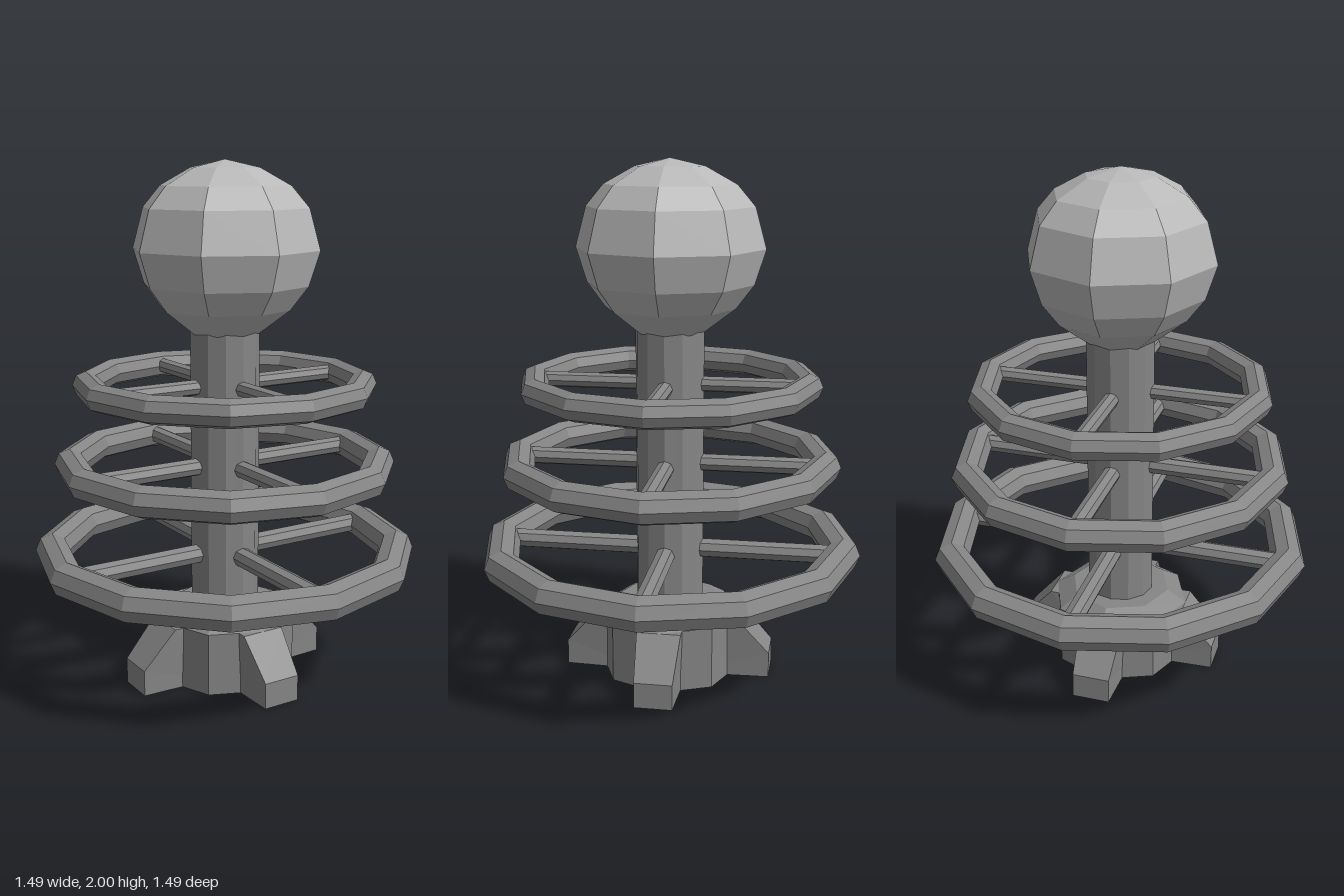
import * as THREE from 'three';

export function createModel() {
  const group = new THREE.Group();
  const bodyGray = new THREE.MeshStandardMaterial({ color: 0x868686, flatShading: true });
  bodyGray.name = 'body gray';
  const ballGray = new THREE.MeshStandardMaterial({ color: 0xb8b8b8, flatShading: true });
  ballGray.name = 'ball light gray';

  const add = (name, geometry, material, y = 0) => {
    const mesh = new THREE.Mesh(geometry, material);
    mesh.name = name;
    mesh.position.y = y;
    group.add(mesh);
    return mesh;
  };
  const lathe = (points, sides) =>
    new THREE.LatheGeometry(points.map(([r, y]) => new THREE.Vector2(r, y)), sides);

  // Octagonal base with a chamfered top
  add('baseCore', lathe([[0, 0], [0.275, 0], [0.275, 0.245], [0.2, 0.29], [0, 0.29]], 8), bodyGray);

  // Four sloped feet, narrowing outwards
  const profile = new THREE.Shape();
  profile.moveTo(0.1, 0);
  profile.lineTo(0.405, 0);
  profile.lineTo(0.405, 0.1);
  profile.lineTo(0.275, 0.245);
  profile.lineTo(0.1, 0.245);
  const footGeometry = new THREE.ExtrudeGeometry(profile, { depth: 2, bevelEnabled: false });
  footGeometry.translate(0, 0, -1);
  const p = footGeometry.attributes.position;
  for (let i = 0; i < p.count; i++) {
    p.setZ(i, p.getZ(i) * (p.getX(i) > 0.3 ? 0.073 : 0.085));
  }
  footGeometry.computeVertexNormals();
  for (let i = 0; i < 4; i++) add('foot', footGeometry, bodyGray).rotation.y = i * Math.PI / 2;

  // Central column
  add('column', new THREE.CylinderGeometry(0.132, 0.132, 1.14, 12), bodyGray, 0.84);

  // Three rings, each carried by four spokes
  const rings = [
    { y: 0.5, radius: 0.678, tube: 0.067, spoke: 0.038 },
    { y: 0.85, radius: 0.6, tube: 0.06, spoke: 0.034 },
    { y: 1.16, radius: 0.53, tube: 0.053, spoke: 0.03 },
  ];
  for (const { y, radius, tube, spoke } of rings) {
    add('ring', new THREE.TorusGeometry(radius, tube, 8, 12).rotateX(-Math.PI / 2), bodyGray, y);
    const length = radius - 0.1;
    const spokeGeometry = new THREE.CylinderGeometry(spoke, spoke, length, 8)
      .rotateZ(-Math.PI / 2).translate(0.1 + length / 2, 0, 0);
    for (let i = 0; i < 4; i++) add('spoke', spokeGeometry, bodyGray, y).rotation.y = i * Math.PI / 2;
  }

  // Faceted ball on top
  add('ball', lathe([
    [0, 1.36], [0.132, 1.36], [0.25, 1.45], [0.318, 1.54], [0.36, 1.672],
    [0.318, 1.825], [0.25, 1.905], [0.132, 1.97], [0, 2],
  ], 8), ballGray);

  return group;
}
